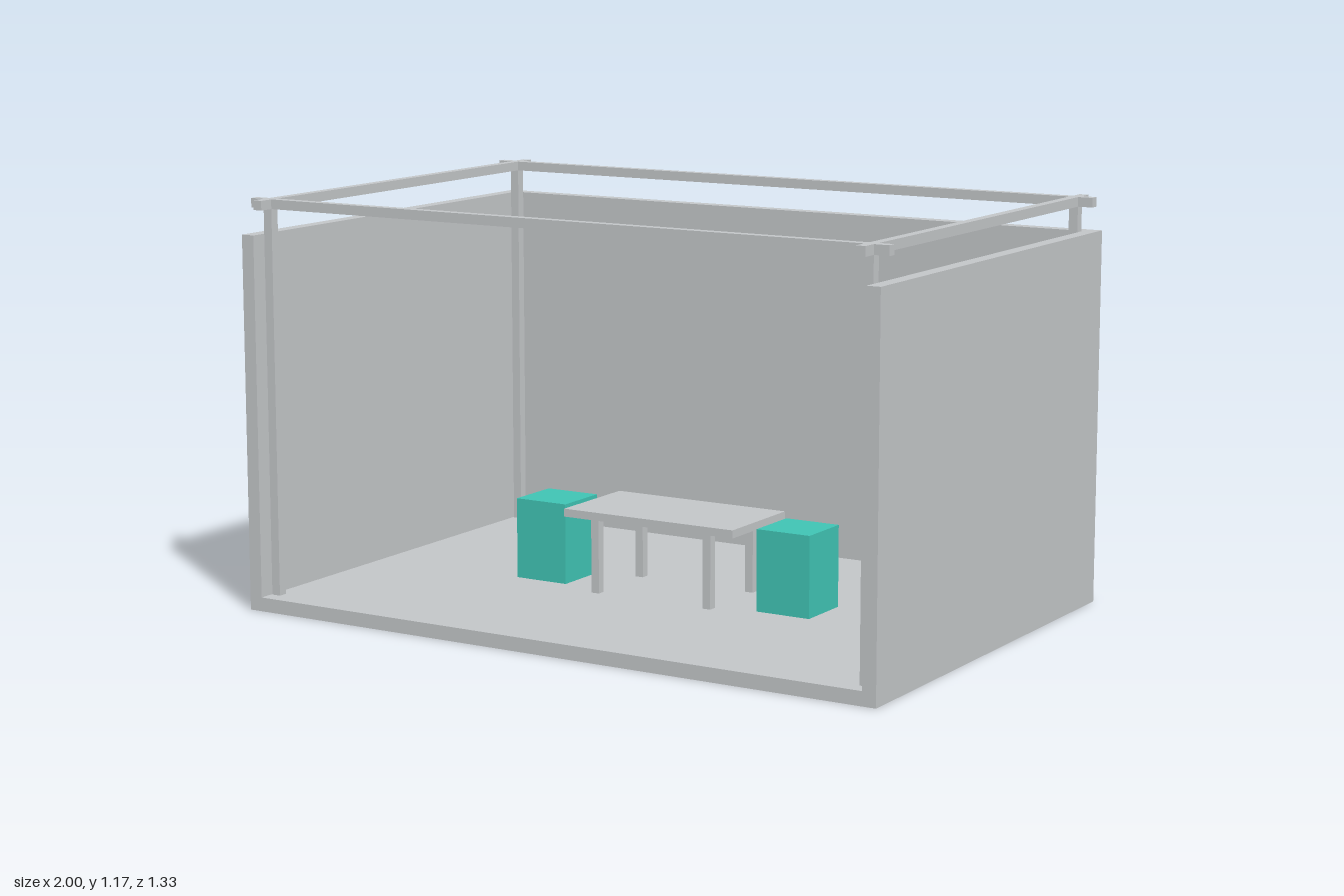
import * as THREE from 'three';

export function createModel() {
  const model = new THREE.Group();
  const grey = new THREE.MeshStandardMaterial({ name: 'light grey', color: 0xc3c6c8 });
  const teal = new THREE.MeshStandardMaterial({ name: 'teal', color: 0x40c4b4 });

  // Box given by its width, height, depth and the centre of its base
  function box(name, [w, h, d], [x, y, z], material = grey, parent = model) {
    const mesh = new THREE.Mesh(new THREE.BoxGeometry(w, h, d), material);
    mesh.name = name;
    mesh.position.set(x, y + h / 2, z);
    parent.add(mesh);
    return mesh;
  }

  const W = 2, D = 1.333, T = 0.04;      // booth width, depth, panel thickness
  const wallTop = 1.07, frameTop = 1.168, bar = 0.027;
  const postX = 0.943, postZ = 0.609;

  // Floor and three walls, open at the front
  box('floor', [W, T, D], [0, 0, 0]);
  box('backWall', [W, wallTop - T, T], [0, T, -D / 2 + T / 2]);
  for (const s of [-1, 1]) {
    box(s > 0 ? 'leftWall' : 'rightWall', [T, wallTop - T, D - T], [s * (W / 2 - T / 2), T, T / 2]);
  }

  // Corner posts and crossing roof beams
  const frame = new THREE.Group();
  frame.name = 'frame';
  model.add(frame);
  const beamY = frameTop - bar;
  for (const s of [-1, 1]) {
    box(s > 0 ? 'frontBeam' : 'backBeam', [W, bar, bar], [0, beamY, s * postZ], grey, frame);
    box(s > 0 ? 'leftBeam' : 'rightBeam', [bar, bar, D], [s * postX, beamY, 0], grey, frame);
    for (const t of [-1, 1]) {
      box('cornerPost', [bar, beamY - T, bar], [s * postX, T, t * postZ], grey, frame);
    }
  }

  // Table
  const table = new THREE.Group();
  table.name = 'table';
  model.add(table);
  box('tableTop', [0.554, 0.023, 0.294], [0, 0.255, 0], grey, table);
  for (const s of [-1, 1]) {
    for (const t of [-1, 1]) {
      box('tableLeg', [0.025, 0.215, 0.025], [s * 0.184, T, t * 0.118], grey, table);
    }
  }

  // Block stools at both ends of the table
  for (const s of [-1, 1]) {
    box(s > 0 ? 'leftStool' : 'rightStool', [0.167, 0.234, 0.167], [s * 0.4, T, -0.002], teal);
  }

  return model;
}
